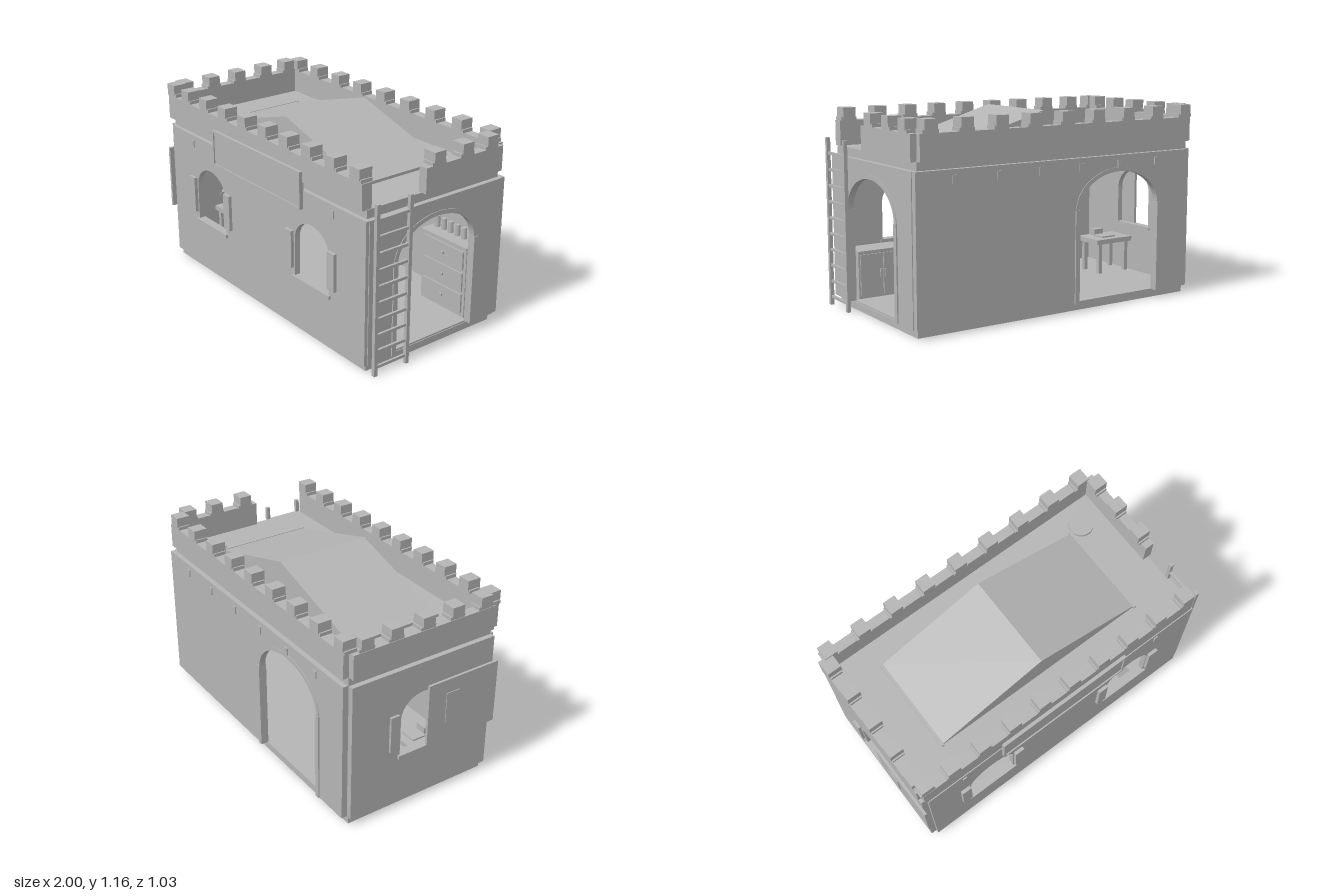
import * as THREE from 'three';

export function createModel() {
  const root = new THREE.Group();
  const stone = new THREE.MeshStandardMaterial({ color: 0xb4b4b4 });
  stone.name = 'grey stone';

  const add = (name, geo, parent = root) => {
    const m = new THREE.Mesh(geo, stone);
    m.name = name;
    parent.add(m);
    return m;
  };
  // Box given by its limits on each axis
  const box = (name, x0, x1, y0, y1, z0, z1, parent = root) => {
    const g = new THREE.BoxGeometry(x1 - x0, y1 - y0, z1 - z0);
    g.translate((x0 + x1) / 2, (y0 + y1) / 2, (z0 + z1) / 2);
    return add(name, g, parent);
  };
  const group = (name) => {
    const g = new THREE.Group();
    g.name = name;
    root.add(g);
    return g;
  };

  // Traces an arch: up one side, over the curve, down the other
  const traceArch = (p, u0, u1, y0, spring, top) => {
    p.lineTo(u0, y0);
    p.lineTo(u0, spring);
    p.absellipse((u0 + u1) / 2, spring, (u1 - u0) / 2, top - spring, Math.PI, 0, true);
    p.lineTo(u1, y0);
  };
  // Wall slab in (u, y) with arched windows and an optional arched doorway
  const wallGeo = (u0, u1, thick, windows, door) => {
    const s = new THREE.Shape();
    s.moveTo(u0, 0.05);
    if (door) traceArch(s, door[0], door[1], 0.05, 0.595, 0.8);
    s.lineTo(u1, 0.05);
    s.lineTo(u1, 0.895);
    s.lineTo(u0, 0.895);
    s.closePath();
    for (const [a, b] of windows) {
      const h = new THREE.Path();
      h.moveTo(a, 0.355);
      traceArch(h, a, b, 0.355, 0.58, 0.713);
      h.closePath();
      s.holes.push(h);
    }
    return new THREE.ExtrudeGeometry(s, { depth: thick, bevelEnabled: false, curveSegments: 20 });
  };
  // Raised band that follows a doorway arch
  const bandGeo = (u0, u1) => {
    const c = (u0 + u1) / 2, r = (u1 - u0) / 2, s = new THREE.Shape();
    s.moveTo(u0 - 0.025, 0.595);
    s.absellipse(c, 0.595, r + 0.025, 0.23, Math.PI, 0, true);
    s.lineTo(u1, 0.595);
    s.absellipse(c, 0.595, r, 0.205, 0, Math.PI, false);
    return new THREE.ExtrudeGeometry(s, { depth: 0.005, bevelEnabled: false, curveSegments: 20 });
  };
  const sideways = (g, x) => g.rotateY(-Math.PI / 2).translate(x, 0, 0);

  // Base, floor and roof slab
  box('basePlate', -0.95, 0.92, 0, 0.042, -0.47, 0.46);
  box('floor', -0.945, 0.915, 0.04, 0.052, -0.475, 0.455);
  box('roofSlab', -0.95, 0.92, 0.89, 0.945, -0.48, 0.465);

  // Walls
  const frontWindows = [[-0.67, -0.365], [0.335, 0.64]];
  add('frontWall', wallGeo(-0.945, 0.945, 0.035, frontWindows).translate(0, 0, 0.455));
  add('backWall', wallGeo(-0.945, 0.945, 0.035, [], [-0.7, -0.12]).translate(0, 0, -0.51));
  add('leftShopWall', sideways(wallGeo(-0.475, 0.47, 0.035, [[-0.155, 0.145]]), -0.945));
  add('doorWall', sideways(wallGeo(-0.475, 0.47, 0.035, [], [-0.285, 0.275]), 0.95));

  // Doorway trim
  add('sideArchBand', sideways(bandGeo(-0.285, 0.275), 0.954));
  add('backArchBand', bandGeo(-0.7, -0.12).translate(0, 0, -0.514));
  for (const [a, b] of [[-0.315, -0.285], [0.275, 0.305]]) box('sideDoorJamb', 0.91, 0.958, 0.05, 0.595, a, b);
  for (const [a, b] of [[-0.73, -0.7], [-0.12, -0.09]]) box('backDoorJamb', a, b, 0.05, 0.595, -0.518, -0.47);

  // Front window sills and shutters
  for (const [a, b] of frontWindows) {
    box('windowSill', a - 0.015, b + 0.015, 0.333, 0.355, 0.45, 0.505);
    box('shutter', a - 0.072, a - 0.01, 0.4, 0.625, 0.488, 0.51);
    box('shutter', b + 0.005, b + 0.067, 0.4, 0.625, 0.488, 0.51);
  }
  // Side window sill, narrow shutter and large board
  box('sideWindowSill', -0.995, -0.94, 0.333, 0.355, -0.17, 0.16);
  box('sideShutter', -0.995, -0.978, 0.4, 0.625, -0.23, -0.175);
  box('sideBoard', -0.995, -0.978, 0.34, 0.735, 0.02, 0.5);
  box('sideBoardPanel', -1, -0.99, 0.46, 0.65, 0.14, 0.23);

  // Front sign board with raised frame
  const sign = group('signBoard');
  box('signPanel', -0.44, 0.41, 0.79, 1.0, 0.485, 0.507, sign);
  for (const y of [0.785, 0.993]) box('signFrame', -0.445, 0.415, y, y + 0.012, 0.485, 0.515, sign);
  for (const x of [-0.445, 0.403]) box('signFrame', x, x + 0.012, 0.785, 1.005, 0.485, 0.515, sign);

  // Small beam ends under the eaves
  for (const x of [-0.703, 0.67]) box('beamEnd', x - 0.013, x + 0.013, 0.82, 0.865, 0.48, 0.497);
  for (let i = 0; i < 6; i++) {
    const x = 0.707 - i * 0.279;
    box('beamEnd', x - 0.015, x + 0.015, 0.82, 0.865, -0.517, -0.5);
  }

  // Parapet, open beside the ladder
  const P0 = 0.943, P1 = 1.09;
  box('frontParapet', -0.965, 0.915, P0, P1, 0.43, 0.495);
  box('backParapet', -0.945, 0.915, P0, P1, -0.51, -0.45);
  box('leftParapet', -0.985, -0.925, P0, P1, -0.475, 0.455);
  box('rightParapet', 0.895, 0.952, P0, P1, -0.475, 0.09);

  // Merlons: wide foot with a narrower cap
  const merlon = (x, z, along) => {
    const part = (w, d, y0, y1) => {
      const hx = (along === 'x' ? w : d) / 2, hz = (along === 'x' ? d : w) / 2;
      box('merlon', x - hx, x + hx, y0, y1, z - hz, z + hz);
    };
    part(0.096, 0.074, P1, 1.11);
    part(0.078, 0.084, 1.105, 1.165);
  };
  for (let i = 0; i < 9; i++) merlon(-0.76 + i * 0.2025, 0.459, 'x');
  for (let i = 0; i < 8; i++) merlon(-0.69 + i * 0.22, -0.475, 'x');
  for (const z of [0.39, 0.195, 0, -0.205, -0.39]) merlon(-0.945, z, 'z');
  for (const z of [0, -0.205, -0.39]) merlon(0.915, z, 'z');
  merlon(-0.91, -0.475, 'x');
  merlon(-0.93, 0.455, 'x');

  // Low gabled roof with end beams, and a round hatch
  const gable = new THREE.Shape();
  gable.moveTo(-0.7, 0.944);
  gable.lineTo(0.66, 0.944);
  gable.lineTo(0.66, 0.957);
  gable.lineTo(-0.015, 1.157);
  gable.lineTo(-0.7, 0.957);
  add('gabledRoof', new THREE.ExtrudeGeometry(gable, { depth: 0.58, bevelEnabled: false }).translate(0, 0, -0.295));
  for (const x of [-0.7, 0.662]) box('roofEndBeam', x - 0.009, x + 0.009, 0.94, 0.962, -0.31, 0.295);
  add('roundHatch', new THREE.CylinderGeometry(0.073, 0.073, 0.02, 32).translate(0.745, 0.952, -0.305));

  // Ladder
  const ladder = group('ladder');
  for (const z of [0.217, 0.441]) box('ladderRail', 0.975, 0.997, 0, 0.995, z, z + 0.022, ladder);
  for (let i = 0; i < 10; i++) {
    const y = 0.05 + i * 0.095;
    box('ladderRung', 0.978, 0.992, y - 0.008, y + 0.008, 0.235, 0.445, ladder);
  }

  // Table under the side window
  const table = group('table');
  box('tableTop', -0.94, -0.66, 0.245, 0.275, 0, 0.205, table);
  for (const x of [-0.92, -0.71])
    for (const z of [0.015, 0.167]) box('tableLeg', x, x + 0.025, 0.05, 0.245, z, z + 0.025, table);
  box('tableBox', -0.82, -0.75, 0.275, 0.315, 0.145, 0.195, table);
  box('tableBook', -0.84, -0.74, 0.275, 0.284, 0.05, 0.14, table);

  // Drawer chest against the back wall, with bottles
  const chest = group('drawerChest');
  box('chestBody', 0.53, 0.89, 0.05, 0.485, -0.475, -0.3, chest);
  box('chestTop', 0.525, 0.895, 0.485, 0.497, -0.475, -0.29, chest);
  for (let i = 0; i < 3; i++) {
    const y = 0.08 + i * 0.135;
    box('drawer', 0.55, 0.87, y, y + 0.115, -0.302, -0.29, chest);
    box('drawerKnob', 0.7, 0.72, y + 0.05, y + 0.065, -0.292, -0.28, chest);
  }
  for (let i = 0; i < 6; i++)
    add('bottle', new THREE.CylinderGeometry(0.015, 0.018, 0.07, 10).translate(0.565 + i * 0.055, 0.53, -0.38), chest);

  // Low cupboard against the front wall
  const cupboard = group('lowCupboard');
  box('cupboardBody', 0.58, 0.89, 0.05, 0.335, 0.28, 0.45, cupboard);
  for (const x of [0.59, 0.74]) box('cupboardDoor', x, x + 0.14, 0.07, 0.315, 0.272, 0.282, cupboard);
  for (const x of [0.715, 0.745]) box('cupboardHandle', x, x + 0.01, 0.17, 0.22, 0.262, 0.274, cupboard);

  // Wall lamp inside
  box('lampBracket', 0.19, 0.2, 0.66, 0.67, 0.36, 0.456);
  add('wallLamp', new THREE.CylinderGeometry(0.022, 0.028, 0.07, 6).translate(0.195, 0.628, 0.37));

  return root;
}
